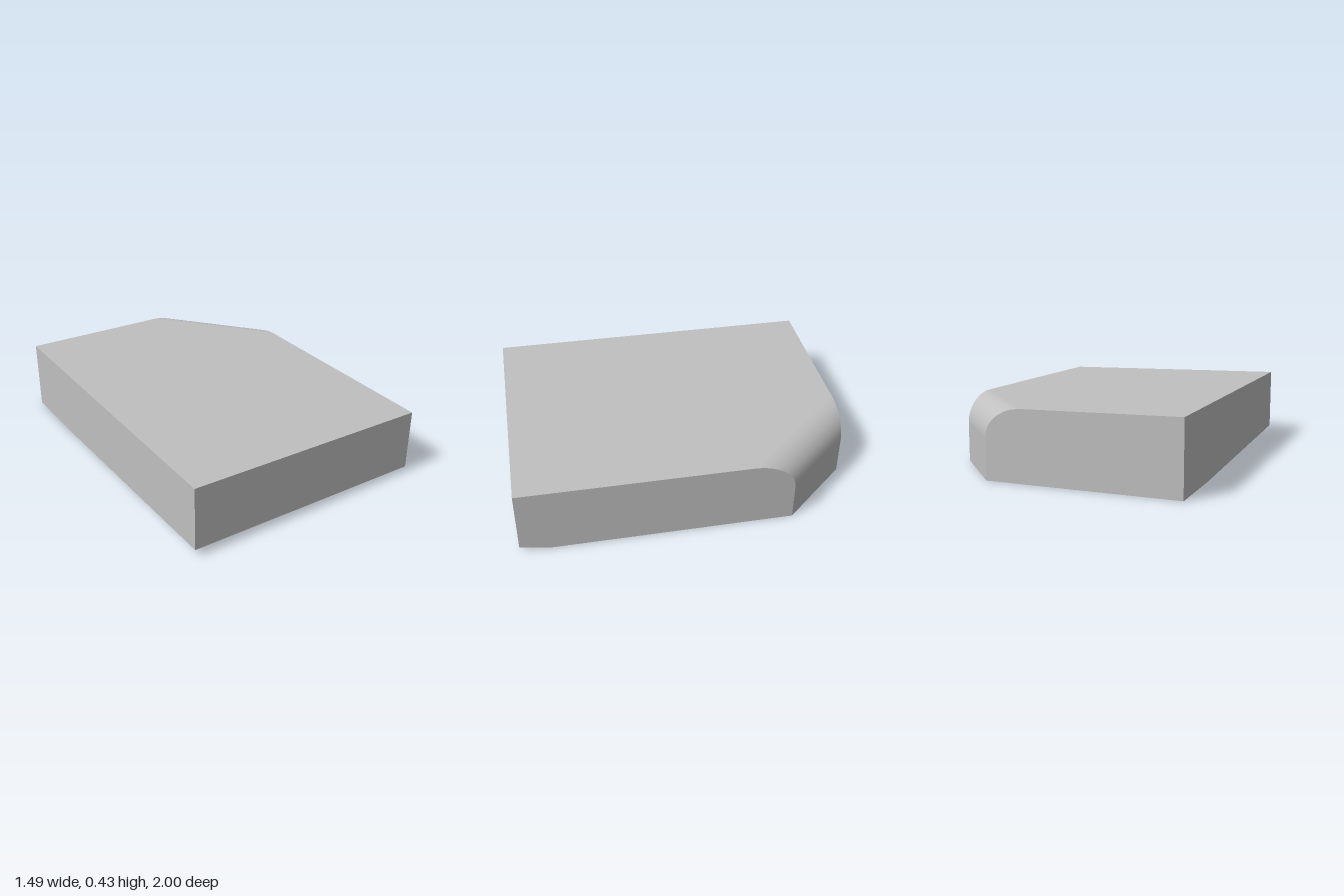
import * as THREE from 'three';

const W = 0.745, D = 1;            // half width and half depth
const R = 0.17, STEPS = 10;        // fillet above the cut corner
const CUT_X = 0.39, CUT_Z = -0.6;  // where the corner cut meets the back and right sides
const topY = (x, z) => 0.417 - 0.0168 * x + 0.0025 * z; // gently sloping top

// Flat convex polygons, fanned and turned to face away from the block's middle
function facesGeometry(polygons) {
  const centre = new THREE.Vector3(0, 0.2, 0);
  const out = [];
  for (const poly of polygons) {
    for (let i = 1; i < poly.length - 1; i++) {
      const [a, b, c] = [poly[0], poly[i], poly[i + 1]];
      const normal = b.clone().sub(a).cross(c.clone().sub(a));
      const outward = normal.dot(a.clone().sub(centre)) > 0;
      for (const p of outward ? [a, b, c] : [a, c, b]) out.push(p.x, p.y, p.z);
    }
  }
  const g = new THREE.BufferGeometry();
  g.setAttribute('position', new THREE.Float32BufferAttribute(out, 3));
  g.computeVertexNormals();
  return g;
}

export function createModel() {
  const v = (x, y, z) => new THREE.Vector3(x, y, z);
  const top = (x, z) => v(x, topY(x, z), z);
  const grey = new THREE.MeshStandardMaterial({ color: 0xc0c0c0 });
  grey.name = 'light grey';

  // Corner cut: upright plane rolling over into the top by a quarter circle
  const n = v(CUT_Z + D, 0, CUT_X - W).normalize();
  const backX = CUT_X - R / n.x, sideZ = CUT_Z - R / n.z;
  const backArc = [], sideArc = [], arcNormals = [];
  for (let i = 0; i <= STEPS; i++) {
    const t = (i / STEPS) * Math.PI / 2;
    const d = R * (1 - Math.cos(t)), drop = R * (1 - Math.sin(t));
    backArc.push(v(CUT_X - d / n.x, topY(backX, -D) - drop, -D));
    sideArc.push(v(W, topY(W, sideZ) - drop, CUT_Z - d / n.z));
    arcNormals.push(v(n.x * Math.cos(t), Math.sin(t), n.z * Math.cos(t)));
  }
  const cutBack = v(CUT_X, 0, -D), cutSide = v(W, 0, CUT_Z);

  // Underside corners, with shallow bevels at the front and left
  const frontLeft = v(-W, 0.05, D), frontRight = v(W, 0.035, D);
  const bevelRight = v(W, 0, 0.82), bevelInner = v(-0.59, 0, 0.75);
  const bevelLeft = v(-W, 0, -0.57), backLeft = v(-W, 0, -D);

  const parts = {
    topFace: [[top(-W, -D), top(-W, D), top(W, D), sideArc[STEPS], backArc[STEPS]]],
    sideFaces: [
      [frontLeft, frontRight, top(W, D), top(-W, D)],
      [backLeft, bevelLeft, frontLeft, top(-W, D), top(-W, -D)],
      [backLeft, cutBack, ...backArc, top(-W, -D)],
      [cutSide, bevelRight, frontRight, top(W, D), ...[...sideArc].reverse()],
    ],
    cornerCut: [[cutBack, cutSide, sideArc[0], backArc[0]]],
    underside: [
      [backLeft, cutBack, cutSide, bevelRight, bevelInner, bevelLeft],
      [frontLeft, frontRight, bevelRight, bevelInner],
      [frontLeft, bevelInner, bevelLeft],
    ],
  };

  const group = new THREE.Group();
  group.name = 'slab';
  const add = (name, geometry) => {
    const mesh = new THREE.Mesh(geometry, grey);
    mesh.name = name;
    group.add(mesh);
  };
  for (const [name, polygons] of Object.entries(parts)) add(name, facesGeometry(polygons));

  // Smooth fillet strip
  const positions = [], normals = [], index = [];
  for (let i = 0; i <= STEPS; i++) {
    for (const p of [backArc[i], sideArc[i]]) {
      positions.push(...p.toArray());
      normals.push(...arcNormals[i].toArray());
    }
    const a = i * 2;
    if (i < STEPS) index.push(a, a + 2, a + 1, a + 1, a + 2, a + 3);
  }
  const fillet = new THREE.BufferGeometry();
  fillet.setAttribute('position', new THREE.Float32BufferAttribute(positions, 3));
  fillet.setAttribute('normal', new THREE.Float32BufferAttribute(normals, 3));
  fillet.setIndex(index);
  add('cornerFillet', fillet);

  return group;
}
